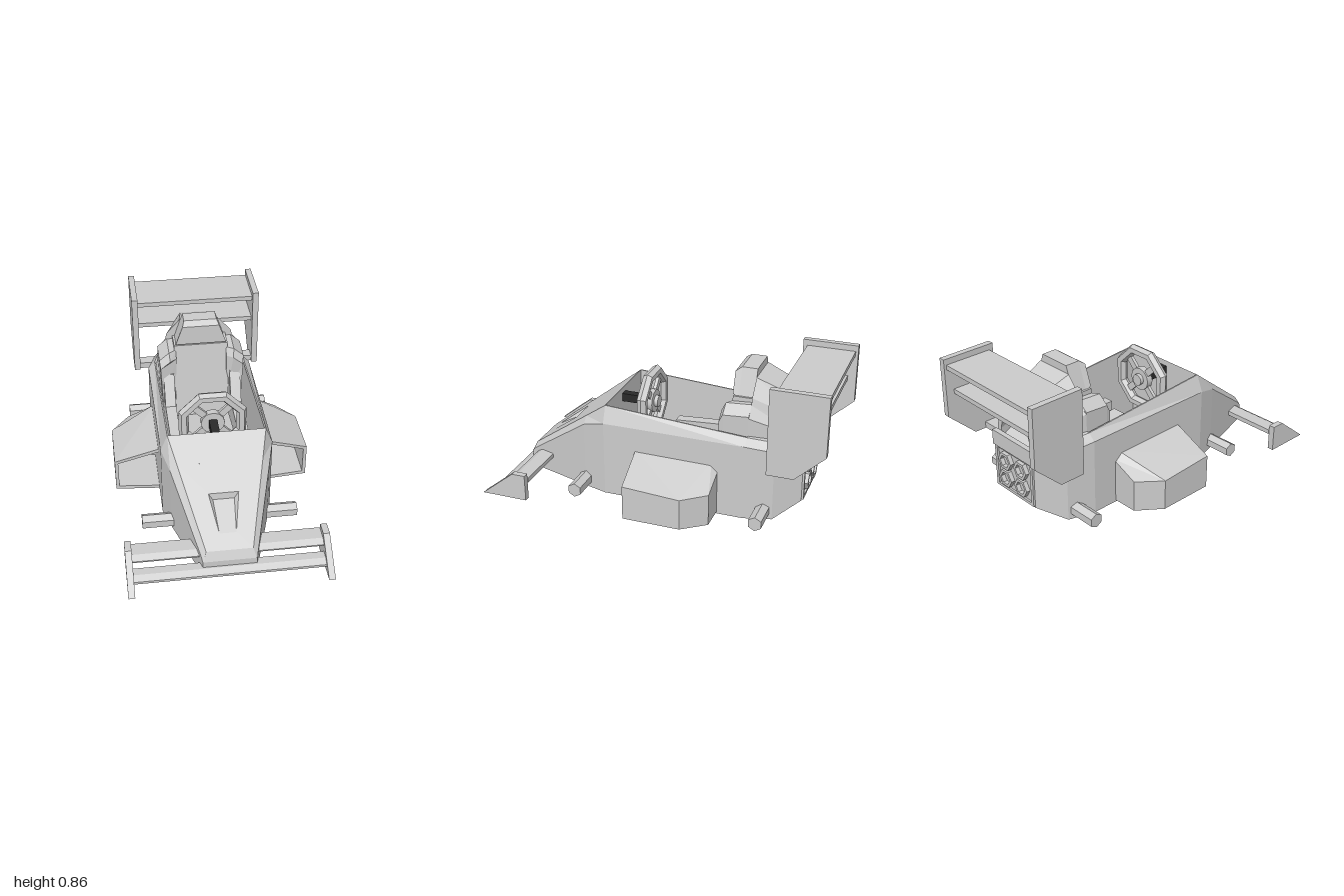
import * as THREE from 'three';

const paint = new THREE.MeshStandardMaterial({ color: 0xcccccc });
paint.name = 'light grey';
const black = new THREE.MeshStandardMaterial({ color: 0x2a2a2a });
black.name = 'near black';

function flat(positions) {
  const g = new THREE.BufferGeometry();
  g.setAttribute('position', new THREE.Float32BufferAttribute(positions, 3));
  g.computeVertexNormals();
  return g;
}

// Skin over cross-sections, each counter-clockwise seen from +z, in order front to back.
function loft(rings) {
  const out = [];
  const tri = (...p) => p.forEach(v => out.push(...v));
  const cap = (ring, front) => {
    const pts = ring.map(p => new THREE.Vector2(p[0], p[1]));
    for (const [a, b, c] of THREE.ShapeUtils.triangulateShape(pts, [])) {
      if (front) tri(ring[a], ring[b], ring[c]);
      else tri(ring[c], ring[b], ring[a]);
    }
  };
  for (let i = 0; i < rings.length - 1; i++) {
    const A = rings[i], B = rings[i + 1], n = A.length;
    for (let k = 0; k < n; k++) {
      const j = (k + 1) % n;
      if (A.skip === k) continue;
      tri(A[k], B[k], A[j]);
      tri(A[j], B[k], B[j]);
    }
  }
  cap(rings[0], true);
  cap(rings[rings.length - 1], false);
  return flat(out);
}

// Flat polygons given as corner lists
function faces(polys) {
  const out = [];
  for (const p of polys)
    for (let i = 1; i < p.length - 1; i++) out.push(...p[0], ...p[i], ...p[i + 1]);
  return flat(out);
}

const mirrorRing = ring => ring.map(([x, y, z]) => [-x, y, z]).reverse();
// Symmetric section from its right half, bottom to top
const symmetric = (z, half) => {
  const r = half.map(([x, y]) => [x, y, z]);
  return [...r, ...mirrorRing(r)];
};

export function createModel() {
  const model = new THREE.Group();
  const add = (name, geo, x = 0, y = 0, z = 0, mat = paint, parent = model) => {
    const m = new THREE.Mesh(geo, mat);
    m.name = name;
    m.position.set(x, y, z);
    parent.add(m);
    return m;
  };
  // Box from its limits
  const box = (name, x0, x1, y0, y1, z0, z1, mat) =>
    add(name, new THREE.BoxGeometry(x1 - x0, y1 - y0, z1 - z0),
      (x0 + x1) / 2, (y0 + y1) / 2, (z0 + z1) / 2, mat);
  // Side profile in (z, y) extruded across x, centred on x
  const sidePlate = (name, pts, width, x) => {
    const g = new THREE.ExtrudeGeometry(new THREE.Shape(pts.map(([z, y]) => new THREE.Vector2(-z, y))),
      { depth: width, bevelEnabled: false });
    g.translate(0, 0, -width / 2).rotateY(Math.PI / 2);
    return add(name, g, x);
  };

  // Nose, with an open panel for the duct
  const hull = (z, yb, w, sy, tx, ty) => symmetric(z, [[w, yb], [w, sy], [tx, ty]]);
  const noseRings = [
    hull(0.88, 0, 0.15, 0.1, 0.145, 0.102),
    hull(0.855, 0, 0.157, 0.125, 0.13, 0.155),
    hull(0.46, 0, 0.28, 0.41, 0.241, 0.45),
    hull(0.32, 0, 0.32, 0.455, 0.28, 0.555),
  ];
  noseRings[1].skip = 2;
  add('nose', loft(noseRings), 0, 0, 0);

  // Sloping nose panel with a tapered duct sunk into it
  const slope = v => 0.155 + v * 0.7468;
  const panel = new THREE.Shape([[-0.13, 0], [0.13, 0], [0.241, 0.395], [-0.241, 0.395]].map(p => new THREE.Vector2(...p)));
  panel.holes.push(new THREE.Path([[-0.047, 0.075], [-0.085, 0.255], [0.085, 0.255], [0.047, 0.075]].map(p => new THREE.Vector2(...p))));
  const panelGeo = new THREE.ShapeGeometry(panel).toNonIndexed();
  const pp = panelGeo.attributes.position;
  for (let i = 0; i < pp.count; i++) {
    const v = pp.getY(i);
    pp.setXYZ(i, pp.getX(i), slope(v), 0.855 - v);
  }
  panelGeo.computeVertexNormals();
  add('nosePanel', panelGeo);
  const f = s => [s * 0.047, slope(0.075), 0.78];
  const b = s => [s * 0.085, slope(0.255), 0.6];
  const d = s => [s * 0.06, slope(0.255) - 0.04, 0.605];
  add('noseDuct', faces([
    [f(-1), f(1), d(1), d(-1)], [d(-1), d(1), b(1), b(-1)],
    [f(1), b(1), d(1)], [f(-1), d(-1), b(-1)],
  ]));

  // Open cockpit tub and tapering tail
  const tub = (z, ty) => symmetric(z, [[0.32, 0], [0.32, 0.455], [0.28, ty], [0.272, ty], [0.272, 0.08]]);
  add('cockpitTub', loft([tub(0.32, 0.555), tub(-0.53, 0.495)]));
  add('tail', loft([
    hull(-0.53, 0, 0.32, 0.455, 0.28, 0.495),
    hull(-0.69, 0, 0.275, 0.425, 0.24, 0.47),
    hull(-0.83, 0.09, 0.165, 0.38, 0.15, 0.41),
  ]));

  // Engine cover, hollow at the back
  add('engineCover', loft([
    symmetric(-0.53, [[0.26, 0.44], [0.26, 0.6], [0.21, 0.66], [0.2, 0.7], [0.12, 0.79]]),
    symmetric(-0.82, [[0.155, 0.38], [0.155, 0.48], [0.14, 0.53], [0.13, 0.57], [0.085, 0.67]]),
    symmetric(-0.82, [[0.125, 0.4], [0.125, 0.47], [0.112, 0.515], [0.102, 0.555], [0.067, 0.64]]),
    symmetric(-0.66, [[0.15, 0.42], [0.15, 0.5], [0.13, 0.55], [0.12, 0.59], [0.08, 0.68]]),
  ]));

  // Seat
  add('headrest', loft([
    symmetric(-0.405, [[0.155, 0.69], [0.112, 0.81]]),
    symmetric(-0.44, [[0.155, 0.67], [0.1, 0.835]]),
    symmetric(-0.53, [[0.155, 0.67], [0.1, 0.835]]),
  ]));
  sidePlate('seatBack', [[-0.34, 0.16], [-0.41, 0.68], [-0.53, 0.68], [-0.53, 0.16]], 0.33, 0);
  sidePlate('seatPan', [[0.03, 0.08], [0.06, 0.25], [-0.35, 0.2], [-0.4, 0.08]], 0.33, 0);
  const podFront = (x, y0, y1, y2, z) => [[0.3, y0, z + 0.02], [x, y0 + 0.005, z], [x, y1, z], [0.3, y2, z + 0.025]];
  const podRings = [
    podFront(0.56, 0.03, 0.205, 0.295, -0.2),
    podFront(0.56, 0.03, 0.205, 0.295, 0.1),
    podFront(0.58, 0.01, 0.22, 0.317, 0.1),
    [[0.3, 0.01, -0.25], [0.58, 0.015, -0.24], [0.58, 0.2, -0.24], [0.3, 0.312, -0.335]],
    [[0.3, 0.01, -0.375], [0.47, 0.01, -0.375], [0.47, 0.2, -0.375], [0.3, 0.275, -0.375]],
  ];
  const shoulderRings = [[-0.355, 0.6, 0.255], [-0.38, 0.65, 0.26], [-0.53, 0.66, 0.26]].map(([z, y, x]) =>
    [[0.155, 0.3, z - 0.03], [x - 0.01, 0.3, z], [x, y - 0.05, z], [x - 0.06, y, z], [0.155, y, z - 0.03]]);

  for (const s of [1, -1]) {
    const side = s > 0 ? 'left' : 'right';
    const sided = rings => loft(s > 0 ? rings : rings.map(mirrorRing));
    add(side + 'SeatShoulder', sided(shoulderRings));
    sidePlate(side + 'SeatBolster', [[0.02, 0.08], [0.05, 0.3], [-0.28, 0.32], [-0.37, 0.5], [-0.45, 0.5], [-0.45, 0.08]], 0.065, s * 0.205);
    // Side pod with an open intake at the front
    add(side + 'SidePod', sided(podRings));
    // Wing end plates
    sidePlate(side + 'FrontEndPlate', [[1, 0], [0.8, 0.16], [0.72, 0.16], [0.72, 0]], 0.037, s * 0.548);
    sidePlate(side + 'RearEndPlate', [[-0.675, 0.86], [-1, 0.86], [-1, 0.51], [-0.83, 0.35], [-0.675, 0.35]], 0.037, s * 0.381);
    // Six-sided axle stubs
    for (const [end, z] of [['Front', 0.458], ['Rear', -0.637]]) {
      const axle = new THREE.CylinderGeometry(0.043, 0.043, 0.27, 6).toNonIndexed();
      axle.rotateZ(Math.PI / 2).rotateX(Math.PI / 2);
      axle.computeVertexNormals();
      add(side + end + 'Axle', axle, s * 0.315, 0.057, z);
    }
    box(side + 'RearWingStrut', Math.min(s * 0.2, s * 0.37), Math.max(s * 0.2, s * 0.37), 0.352, 0.39, -0.76, -0.69);
  }

  // Wing blades
  sidePlate('frontLowerBlade', [[0.925, 0.03], [0.925, 0.045], [0.89, 0.065], [0.84, 0.065], [0.84, 0.03]], 1.06, 0);
  sidePlate('frontUpperBlade', [[0.835, 0.102], [0.835, 0.11], [0.8, 0.13], [0.715, 0.13], [0.715, 0.102]], 1.06, 0);
  box('rearUpperBlade', -0.365, 0.365, 0.797, 0.825, -0.985, -0.7);
  box('rearLowerBlade', -0.365, 0.365, 0.64, 0.668, -0.95, -0.72);

  // Steering wheel and column
  const wheel = new THREE.Group();
  wheel.name = 'steeringWheel';
  wheel.position.set(0, 0.495, 0.135);
  model.add(wheel);
  const rim = new THREE.TorusGeometry(0.182, 0.032, 6, 8).toNonIndexed();
  rim.rotateZ(Math.PI / 8);
  rim.computeVertexNormals();
  add('rim', rim, 0, 0, 0, paint, wheel);
  for (let i = 0; i < 4; i++) {
    const a = Math.PI / 4 + i * Math.PI / 2;
    const spoke = add('spoke', new THREE.BoxGeometry(0.13, 0.04, 0.02), Math.cos(a) * 0.105, Math.sin(a) * 0.105, 0, paint, wheel);
    spoke.rotation.z = a;
  }
  add('hub', new THREE.CylinderGeometry(0.07, 0.07, 0.04, 12).rotateX(Math.PI / 2), 0, 0, 0, paint, wheel);
  add('hubCap', new THREE.CylinderGeometry(0.035, 0.035, 0.025, 12).rotateX(Math.PI / 2), 0, 0, -0.03, paint, wheel);
  box('steeringColumn', -0.024, 0.024, 0.47, 0.52, 0.15, 0.33, black);

  // Rear panel: frame, lip and four hollow six-sided exhausts
  const hex = (r, C) => new C(Array.from({ length: 6 }, (_, i) =>
    new THREE.Vector2(r * Math.cos(i * Math.PI / 3), r * Math.sin(i * Math.PI / 3))));
  const rect = (w, h, C) => new C([[-w, -h], [w, -h], [w, h], [-w, h]].map(p => new THREE.Vector2(...p)));
  const frame = rect(0.165, 0.135, THREE.Shape);
  frame.holes.push(rect(0.145, 0.117, THREE.Path));
  add('rearFrame', new THREE.ExtrudeGeometry(frame, { depth: 0.02, bevelEnabled: false }), 0, 0.235, -0.842);
  box('rearLip', -0.17, 0.17, 0.365, 0.455, -0.85, -0.82);
  const pipe = hex(0.056, THREE.Shape);
  pipe.holes.push(hex(0.038, THREE.Path));
  const pipeGeo = new THREE.ExtrudeGeometry(pipe, { depth: 0.03, bevelEnabled: false });
  for (const x of [-0.068, 0.068])
    for (const y of [0.183, 0.293]) add('exhaustPipe', pipeGeo, x, y, -0.855);

  return model;
}
